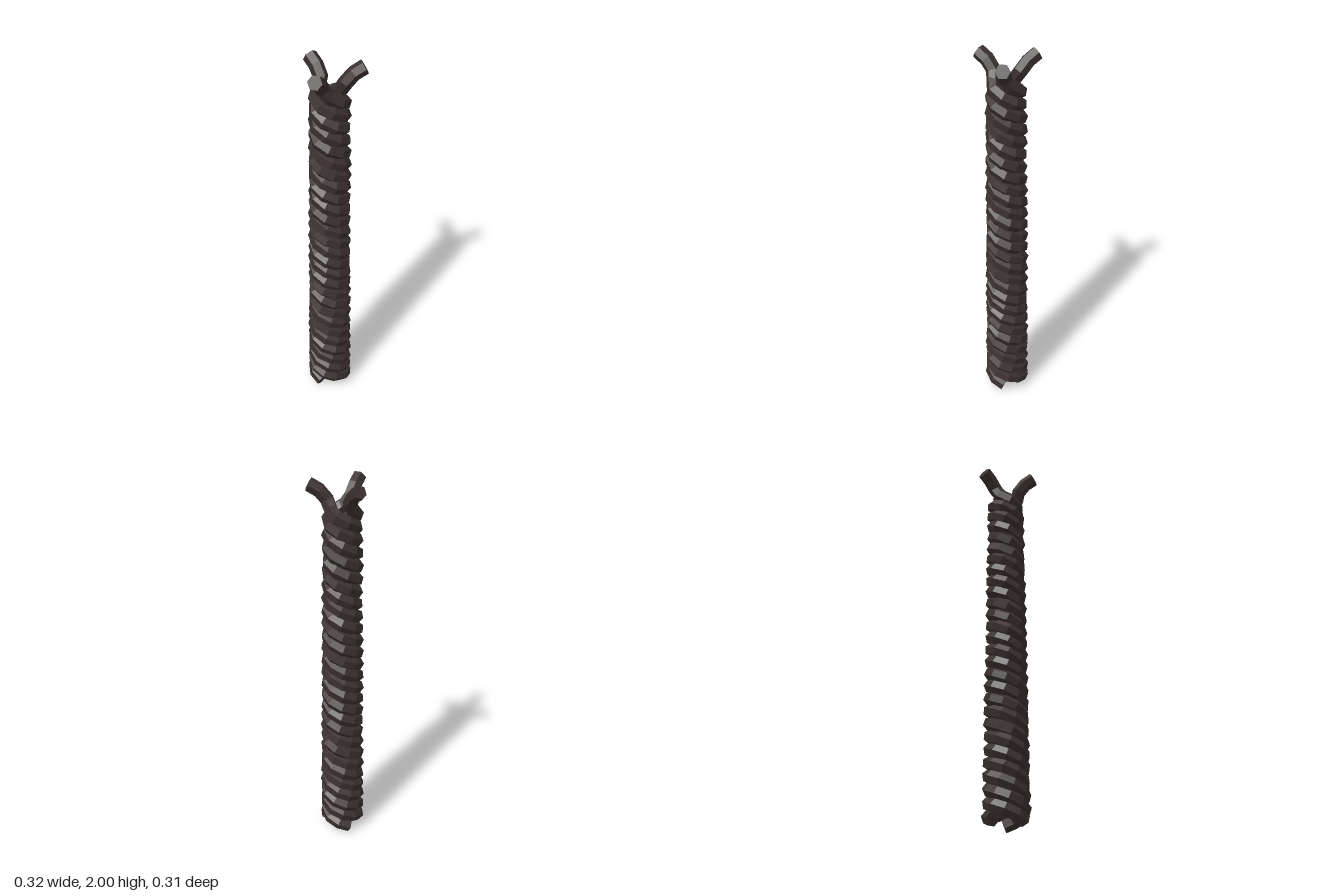
import * as THREE from 'three';

const SIDES = 6;        // hexagonal strand section
const SEGMENTS = 84;    // segments along each strand
const RADIUS = 0.037;   // strand thickness
const TURNS = 8.875;
const rad = THREE.MathUtils.degToRad;

// point at an angle around the rope axis
const polar = (angle, r, y) => new THREE.Vector3(Math.cos(angle) * r, y, Math.sin(angle) * r);

// helix that narrows upwards, then splays outward at the top
function strandPath(tip) {
  const points = [];
  const steps = 142;
  const end = tip - rad(40);
  for (let i = 0; i <= steps; i++) {
    const t = i / steps;
    points.push(polar(
      end - (1 - t) * TURNS * Math.PI * 2,
      THREE.MathUtils.lerp(0.087, 0.068, t),
      THREE.MathUtils.lerp(0.038, 1.842, t)
    ));
  }
  points.push(
    polar(tip - rad(8), 0.062, 1.872),
    polar(tip + rad(2), 0.085, 1.915),
    polar(tip + rad(1), 0.122, 1.952),
    polar(tip, 0.163, 1.975)
  );
  return new THREE.CatmullRomCurve3(points);
}

// tube with both ends closed by a fan over the end rings
function cappedTube(path) {
  const geometry = new THREE.TubeGeometry(path, SEGMENTS, RADIUS, SIDES, false);
  const index = Array.from(geometry.index.array);
  const last = SEGMENTS * (SIDES + 1);
  for (let j = 1; j < SIDES - 1; j++) {
    index.push(0, j, j + 1);
    index.push(last, last + j + 1, last + j);
  }
  geometry.setIndex(index);
  return geometry;
}

export function createModel() {
  const model = new THREE.Group();
  model.name = 'twistedRope';

  const fibre = new THREE.MeshStandardMaterial({ color: 0x3a302f, flatShading: true });
  fibre.name = 'dark brown fibre';

  // three strands wound around a hollow core
  [20, 140, 260].forEach((angle, i) => {
    const strand = new THREE.Mesh(cappedTube(strandPath(rad(angle))), fibre);
    strand.name = `strand${i + 1}`;
    strand.position.set(-0.011, 0, 0.026);
    model.add(strand);
  });

  return model;
}
